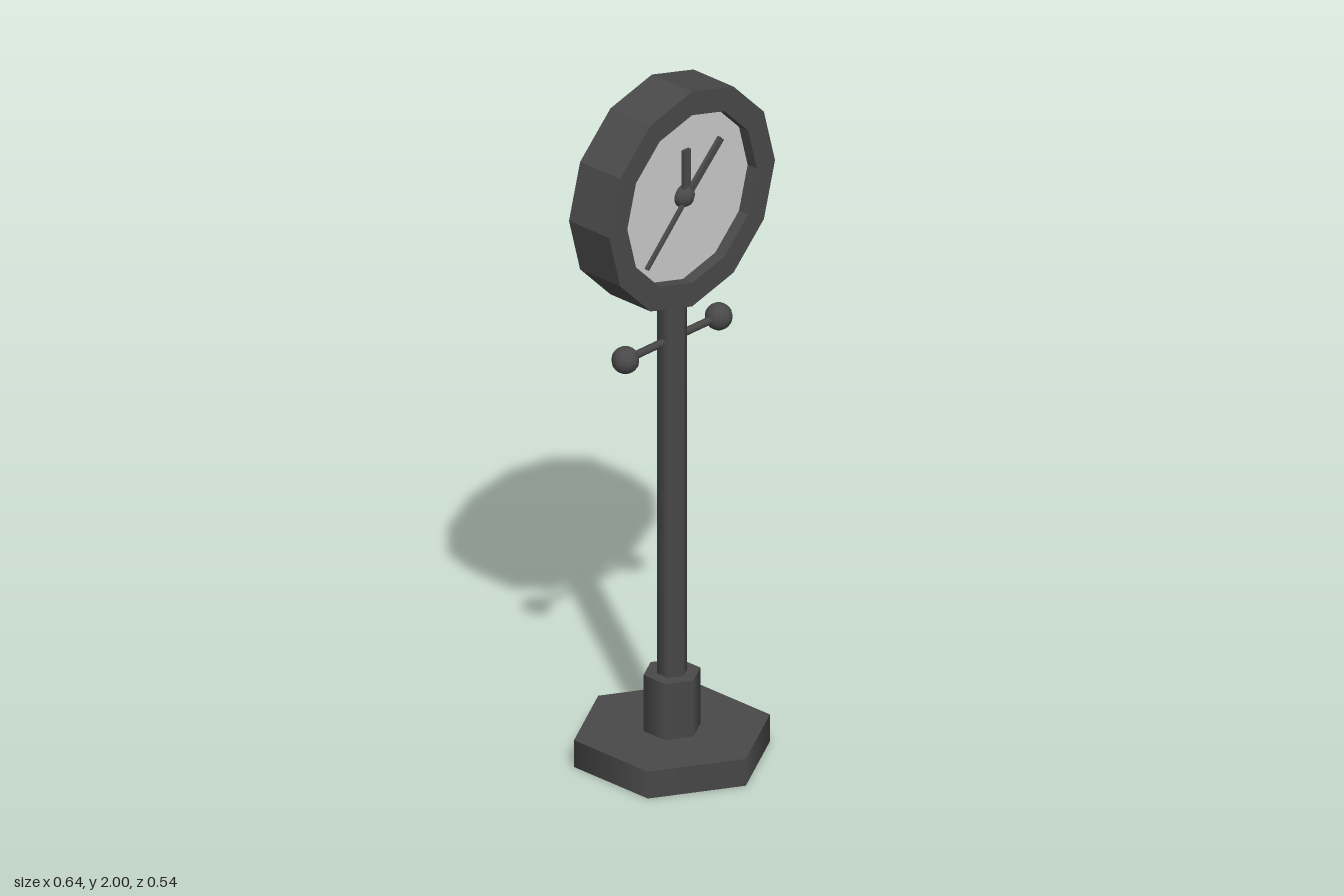
import * as THREE from 'three';

const darkMetal = new THREE.MeshStandardMaterial({ color: 0x494949, side: THREE.DoubleSide });
const dialGrey = new THREE.MeshStandardMaterial({ color: 0xcccccc });

const CLOCK_Y = 1.68;
const DIAL_Z = 0.04;

function add(parent, name, geometry, material, x = 0, y = 0, z = 0) {
  const mesh = new THREE.Mesh(geometry, material);
  mesh.name = name;
  mesh.position.set(x, y, z);
  parent.add(mesh);
  return mesh;
}

// Smooth six-sided tube with a top cap, open underneath
function hexColumn(parent, name, radius, bottom, top) {
  const group = new THREE.Group();
  group.name = name;
  const height = top - bottom;
  add(group, name + 'Side', new THREE.CylinderGeometry(radius, radius, height, 6, 1, true), darkMetal, 0, bottom + height / 2);
  const cap = new THREE.CircleGeometry(radius, 6, Math.PI / 2).rotateX(-Math.PI / 2);
  add(group, name + 'Top', cap, darkMetal, 0, top);
  parent.add(group);
}

// Flat bar from the dial centre out to (dx, dy)
function clockHand(parent, name, dx, dy, width, z) {
  const length = Math.hypot(dx, dy);
  const geometry = new THREE.BoxGeometry(width, length, 0.01).translate(0, length / 2, 0);
  add(parent, name, geometry, darkMetal, 0, 0, z).rotation.z = Math.atan2(-dx, dy);
}

export function createModel() {
  const model = new THREE.Group();
  model.name = 'streetClock';

  // Stand
  hexColumn(model, 'base', 0.272, 0, 0.08);
  hexColumn(model, 'collar', 0.079, 0.065, 0.247);
  hexColumn(model, 'pole', 0.042, 0.2, 1.4);

  // Crossbar with a ball on each end
  add(model, 'crossbar', new THREE.CylinderGeometry(0.011, 0.011, 0.36, 6).rotateZ(Math.PI / 2), darkMetal, 0, 1.24);
  for (const side of [-1, 1]) {
    add(model, side > 0 ? 'leftBall' : 'rightBall', new THREE.SphereGeometry(0.038, 12, 8), darkMetal, side * 0.18, 1.24);
  }

  // Twelve-sided case with a recessed front
  const clock = new THREE.Group();
  clock.name = 'clock';
  clock.position.y = CLOCK_Y;
  model.add(clock);
  const profile = [[0, -0.074], [0.32, -0.074], [0.32, 0.074], [0.25, 0.074], [0.25, DIAL_Z - 0.005]];
  const shell = new THREE.LatheGeometry(profile.map(([r, h]) => new THREE.Vector2(r, h)), 12)
    .rotateX(Math.PI / 2).toNonIndexed();
  shell.computeVertexNormals();
  add(clock, 'case', shell, darkMetal);
  add(clock, 'dial', new THREE.CircleGeometry(0.25, 12), dialGrey, 0, 0, DIAL_Z);

  // Hands and hub
  clockHand(clock, 'hourHand', 0, 0.14, 0.026, DIAL_Z + 0.012);
  clockHand(clock, 'minuteHand', 0.132, 0.128, 0.02, DIAL_Z + 0.014);
  clockHand(clock, 'secondHand', -0.156, -0.16, 0.01, DIAL_Z + 0.016);
  add(clock, 'hub', new THREE.SphereGeometry(0.033, 10, 8), darkMetal, 0, 0, DIAL_Z);

  return model;
}
